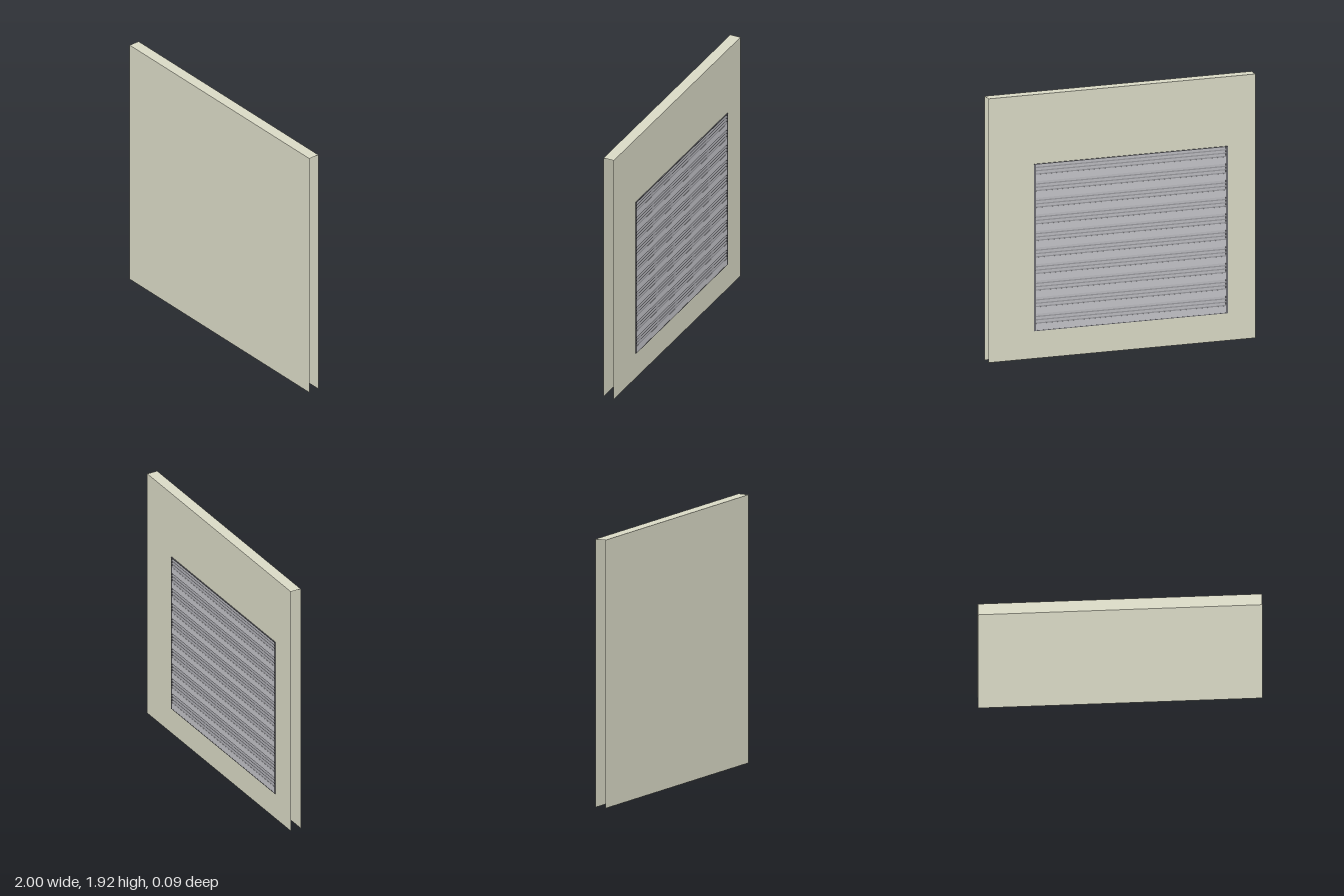
import * as THREE from 'three';

export function createModel() {
  const model = new THREE.Group();
  const material = (name, color) => {
    const m = new THREE.MeshStandardMaterial({ color, side: THREE.DoubleSide });
    m.name = name;
    return m;
  };
  const panelPaint = material('stone paint', 0xd9d9c5);
  const slatMetal = material('light grey metal', 0xc4c4c9);
  const ribMetal = material('mid grey metal', 0x98989d);
  const railMetal = material('dark grey metal', 0x6c6c71);

  const H = 1.92, FRONT = 0.044, BACK = -0.037;
  const L = -0.79, R = 0.66, B = 0.2, T = 1.415; // grille opening
  const cx = (L + R) / 2, cy = (B + T) / 2;

  const add = (name, geo, mat, x = 0, y = 0, z = 0, parent = model) => {
    const mesh = new THREE.Mesh(geo, mat);
    mesh.name = name;
    mesh.position.set(x, y, z);
    parent.add(mesh);
  };
  const points = (list) => list.map(([x, y]) => new THREE.Vector2(x, y));
  const rect = (Type, x0, y0, x1, y1) => new Type(points([[x0, y0], [x1, y0], [x1, y1], [x0, y1]]));

  // Folded sheet: front, top and back, open at the sides and bottom
  add('frontSheet', new THREE.PlaneGeometry(2, H), panelPaint, 0, H / 2, FRONT);
  add('topSheet', new THREE.PlaneGeometry(2, FRONT - BACK).rotateX(-Math.PI / 2),
    panelPaint, 0, H, (FRONT + BACK) / 2);
  const back = rect(THREE.Shape, -1, 0, 1, H);
  back.holes.push(rect(THREE.Path, L, B, R, T));
  add('backSheet', new THREE.ShapeGeometry(back), panelPaint, 0, 0, BACK);

  // Grille frame, standing just proud of the back sheet
  const grille = new THREE.Group();
  grille.name = 'grille';
  model.add(grille);
  const rail = 0.014, lip = 0.005, depth = 0.008, zMid = -0.04;
  for (const x of [L + rail / 2, R - rail / 2])
    add('sideRail', new THREE.BoxGeometry(rail, T - B, depth), railMetal, x, cy, zMid, grille);
  for (const y of [B + lip / 2, T - lip / 2])
    add('endRail', new THREE.BoxGeometry(R - L - 2 * rail, lip, depth), railMetal, cx, y, zMid, grille);

  // Bars run along +x; the profile is given as [distance behind centre, height]
  const bar = (profile) => new THREE.ExtrudeGeometry(new THREE.Shape(points(profile)),
    { depth: R - L - 2 * rail, bevelEnabled: false }).rotateY(Math.PI / 2);
  const count = 10, pitch = (T - B - 2 * lip) / count;
  const band = pitch * 0.4, step = pitch * 0.2;
  const slatGeo = bar([[0.031, 0], [0.043, 0], [0.043, band], [0.031, band]]);
  const ribGeo = bar([[0.031, 0], [0.042, 0], [0.042, step * 0.35], [0.033, step], [0.031, step]]);

  // Each slat is a flat band with three narrow louvre ribs above it
  for (let i = 0; i < count; i++) {
    const y = B + lip + i * pitch;
    add('slatBand', slatGeo, slatMetal, L + rail, y, 0, grille);
    for (let j = 0; j < 3; j++)
      add('louvreRib', ribGeo, ribMetal, L + rail, y + band + j * step, 0, grille);
  }

  return model;
}
